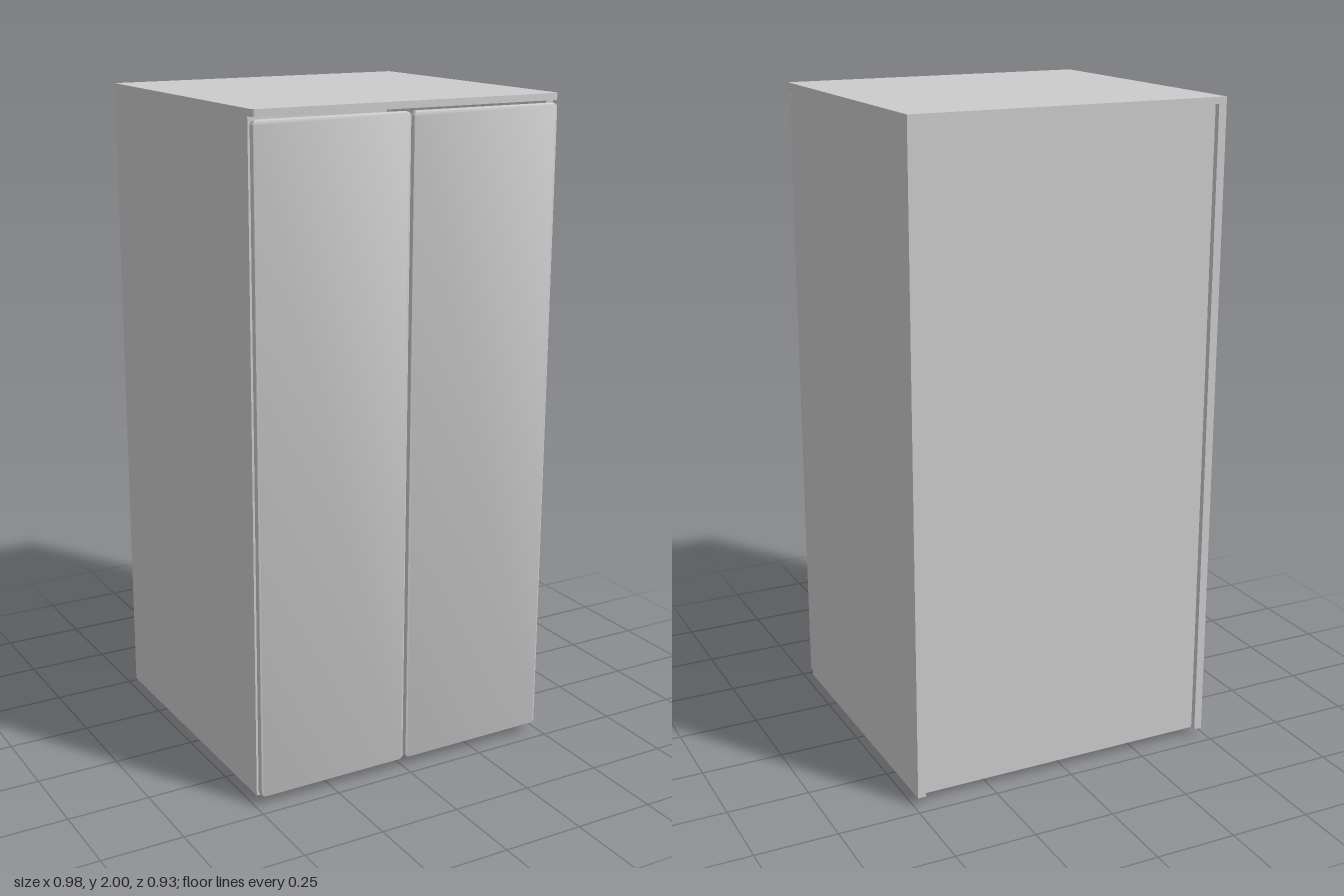
import * as THREE from 'three';
import { toCreasedNormals } from 'three/addons/utils/BufferGeometryUtils.js';

const panelGrey = new THREE.MeshStandardMaterial({ color: 0xcccccc });
panelGrey.name = 'panelGrey';

function add(group, name, geometry, x = 0, y = 0, z = 0) {
  const mesh = new THREE.Mesh(geometry, panelGrey);
  mesh.name = name;
  mesh.position.set(x, y, z);
  group.add(mesh);
  return mesh;
}

// Box given by its lower and upper limits
function panel(group, name, x0, x1, y0, y1, z0, z1) {
  add(group, name, new THREE.BoxGeometry(x1 - x0, y1 - y0, z1 - z0),
    (x0 + x1) / 2, (y0 + y1) / 2, (z0 + z1) / 2);
}

// Rectangle with separate radii for its lower and upper corners
function roundedRect(x0, x1, y0, y1, rLow, rHigh) {
  const s = new THREE.Shape();
  s.moveTo(x0 + rLow, y0);
  s.lineTo(x1 - rLow, y0);
  if (rLow) s.absarc(x1 - rLow, y0 + rLow, rLow, -Math.PI / 2, 0);
  s.lineTo(x1, y1 - rHigh);
  if (rHigh) s.absarc(x1 - rHigh, y1 - rHigh, rHigh, 0, Math.PI / 2);
  s.lineTo(x0 + rHigh, y1);
  if (rHigh) s.absarc(x0 + rHigh, y1 - rHigh, rHigh, Math.PI / 2, Math.PI);
  s.lineTo(x0, y0 + rLow);
  if (rLow) s.absarc(x0 + rLow, y0 + rLow, rLow, Math.PI, Math.PI * 1.5);
  return s;
}

export function createModel() {
  const cabinet = new THREE.Group();
  cabinet.name = 'cabinet';
  const W = 0.488, T = 0.025, BACK = -0.463, FRONT = 0.435, LOW = 0.025, HIGH = 1.98;

  // Top board with rounded front corners
  const board = new THREE.ExtrudeGeometry(roundedRect(-W, W, -0.462, 0.463, 0.012, 0),
    { depth: 0.02, bevelEnabled: false, curveSegments: 6 });
  board.rotateX(-Math.PI / 2);
  add(cabinet, 'topBoard', toCreasedNormals(board, 0.6), 0, HIGH, 0);

  // Carcass: sides, floor and recessed back
  panel(cabinet, 'rightSide', -W, -W + T, LOW, HIGH, BACK, FRONT);
  panel(cabinet, 'leftSide', W - T, W, LOW, HIGH, BACK, FRONT);
  panel(cabinet, 'floor', -W + T, W - T, LOW, LOW + T, -0.445, FRONT);
  panel(cabinet, 'backPanel', -W + T, W - T, LOW, HIGH, -0.445, -0.435);

  // Doors with softened edges and rounded corners
  const bevel = 0.005;
  const doorShape = roundedRect(0.004 + bevel, 0.486 - bevel, 0.028 + bevel, 1.972 - bevel, 0.01, 0.01);
  const doorGeometry = toCreasedNormals(new THREE.ExtrudeGeometry(doorShape, {
    depth: 0.012, bevelEnabled: true, bevelSize: bevel, bevelThickness: bevel,
    bevelSegments: 4, curveSegments: 6,
  }), 0.6);
  add(cabinet, 'leftDoor', doorGeometry, 0, 0, 0.44 + bevel);
  add(cabinet, 'rightDoor', doorGeometry, -0.49, 0, 0.44 + bevel);

  // Round feet with a hollow underside
  const profile = [[0, 0.01], [0.02, 0.01], [0.022, 0], [0.034, 0], [0.038, 0.004],
    [0.039, 0.015], [0.03, 0.018], [0.03, LOW], [0, LOW]].map(([r, y]) => new THREE.Vector2(r, y));
  const footGeometry = toCreasedNormals(new THREE.LatheGeometry(profile, 28), 0.6);
  for (const x of [-0.435, 0.435]) {
    for (const z of [-0.37, 0.378]) add(cabinet, 'foot', footGeometry, x, 0, z);
  }
  return cabinet;
}
